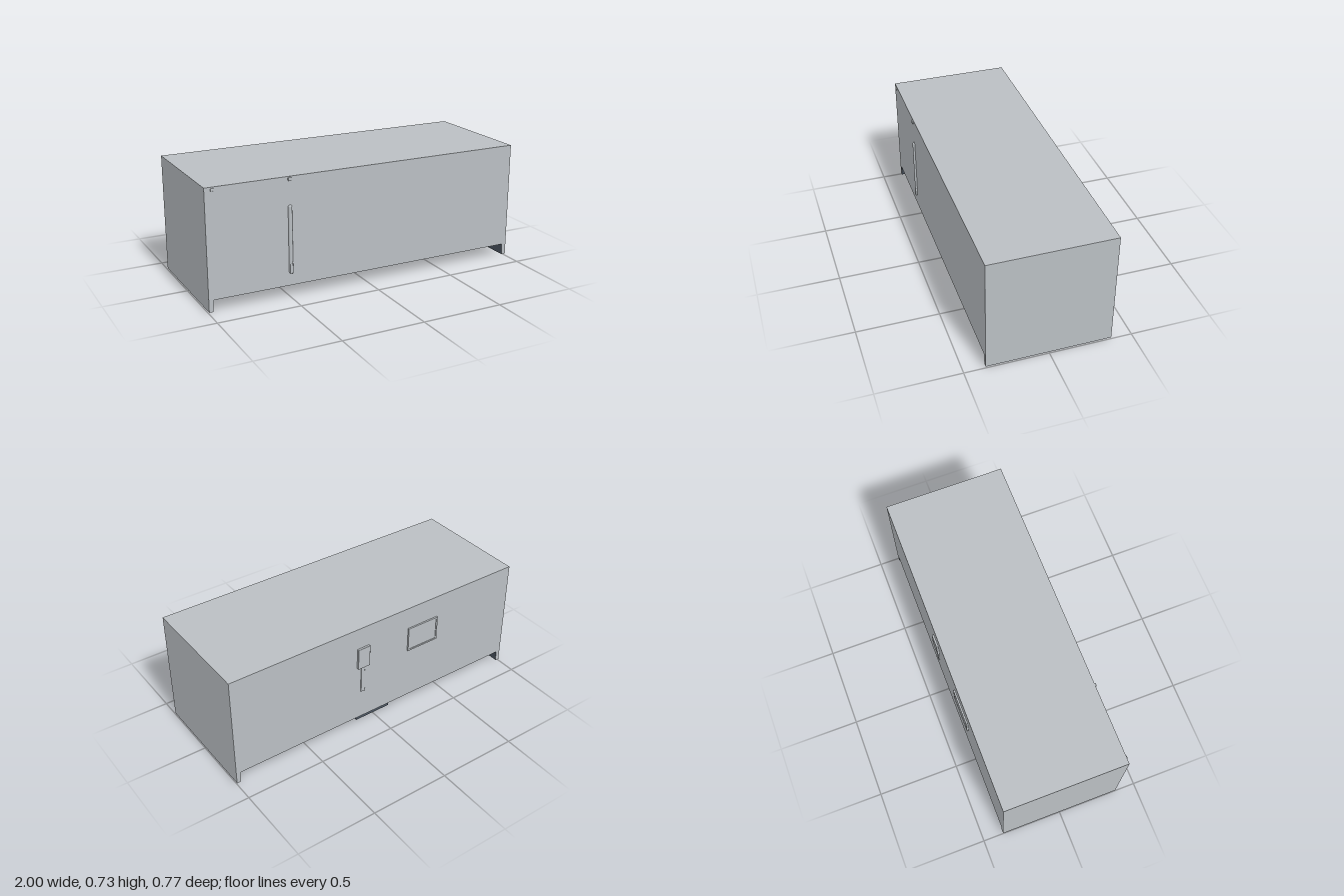
import * as THREE from 'three';
import { RoundedBoxGeometry } from 'three/addons/geometries/RoundedBoxGeometry.js';

export function createModel() {
  const model = new THREE.Group();
  const grey = new THREE.MeshStandardMaterial({ color: 0xbabfc3 });
  grey.name = 'lightGrey';
  const slate = new THREE.MeshStandardMaterial({ color: 0x4b5561 });
  slate.name = 'slateUnderside';

  const add = (name, geometry, material, x, y, z) => {
    const mesh = new THREE.Mesh(geometry, material);
    mesh.name = name;
    mesh.position.set(x, y, z);
    model.add(mesh);
    return mesh;
  };
  // Box given by its limits on each axis
  const block = (name, [x0, x1], [y0, y1], [z0, z1], material, radius = 0) => {
    const size = [x1 - x0, y1 - y0, z1 - z0];
    const geometry = radius
      ? new RoundedBoxGeometry(...size, 2, radius)
      : new THREE.BoxGeometry(...size);
    return add(name, geometry, material, (x0 + x1) / 2, (y0 + y1) / 2, (z0 + z1) / 2);
  };

  // Main cabinet, dark on its underside
  const depth = [-0.374, 0.374];
  block('cabinet', [-1, 1], [0.08, 0.727], depth, [grey, grey, grey, slate, grey, grey]);

  // End skirts: the inner face leans outwards towards the floor
  for (const side of [-1, 1]) {
    const shape = new THREE.BoxGeometry(0.03, 0.07, 0.748);
    const p = shape.attributes.position;
    for (let i = 0; i < p.count; i++) {
      if (p.getX(i) * side < 0 && p.getY(i) < 0) p.setX(i, p.getX(i) + side * 0.006);
    }
    shape.computeVertexNormals();
    const faces = side > 0
      ? [grey, slate, grey, slate, grey, grey]
      : [slate, grey, grey, slate, grey, grey];
    add(side > 0 ? 'leftSkirt' : 'rightSkirt', shape, faces, side * 0.985, 0.045, 0);
  }

  // Block beneath the cabinet
  block('underBlock', [-0.12, 0.125], [0, 0.08], [-0.315, -0.175], slate);

  // Long door handle and the small catches on the top front edge
  add('doorHandle', new THREE.CapsuleGeometry(0.012, 0.386, 6, 16), grey, -0.503, 0.357, 0.374);
  block('handleFoot', [-0.513, -0.493], [0.155, 0.215], [0.37, 0.387], grey, 0.004);
  block('doorCatch', [-0.514, -0.494], [0.7, 0.723], [0.365, 0.383], grey, 0.005);
  block('hingeCap', [-0.965, -0.945], [0.703, 0.72], [0.365, 0.38], grey, 0.005);

  // Latch on the back: case, hanging bar and rounded tip
  block('latchCase', [0.08, 0.165], [0.45, 0.59], [-0.387, -0.366], grey, 0.004);
  block('latchBar', [0.112, 0.138], [0.28, 0.455], [-0.379, -0.368], grey, 0.003);
  block('latchTip', [0.11, 0.14], [0.27, 0.295], [-0.38, -0.368], grey, 0.004);

  // Framed access plate on the back
  block('accessPlate', [-0.418, -0.212], [0.43, 0.58], [-0.38, -0.37], grey);
  for (const x of [-0.42, -0.21]) {
    block('plateFrameSide', [x - 0.005, x + 0.005], [0.425, 0.585], [-0.384, -0.37], grey);
  }
  for (const y of [0.43, 0.58]) {
    block('plateFrameRail', [-0.425, -0.205], [y - 0.005, y + 0.005], [-0.384, -0.37], grey);
  }
  return model;
}
